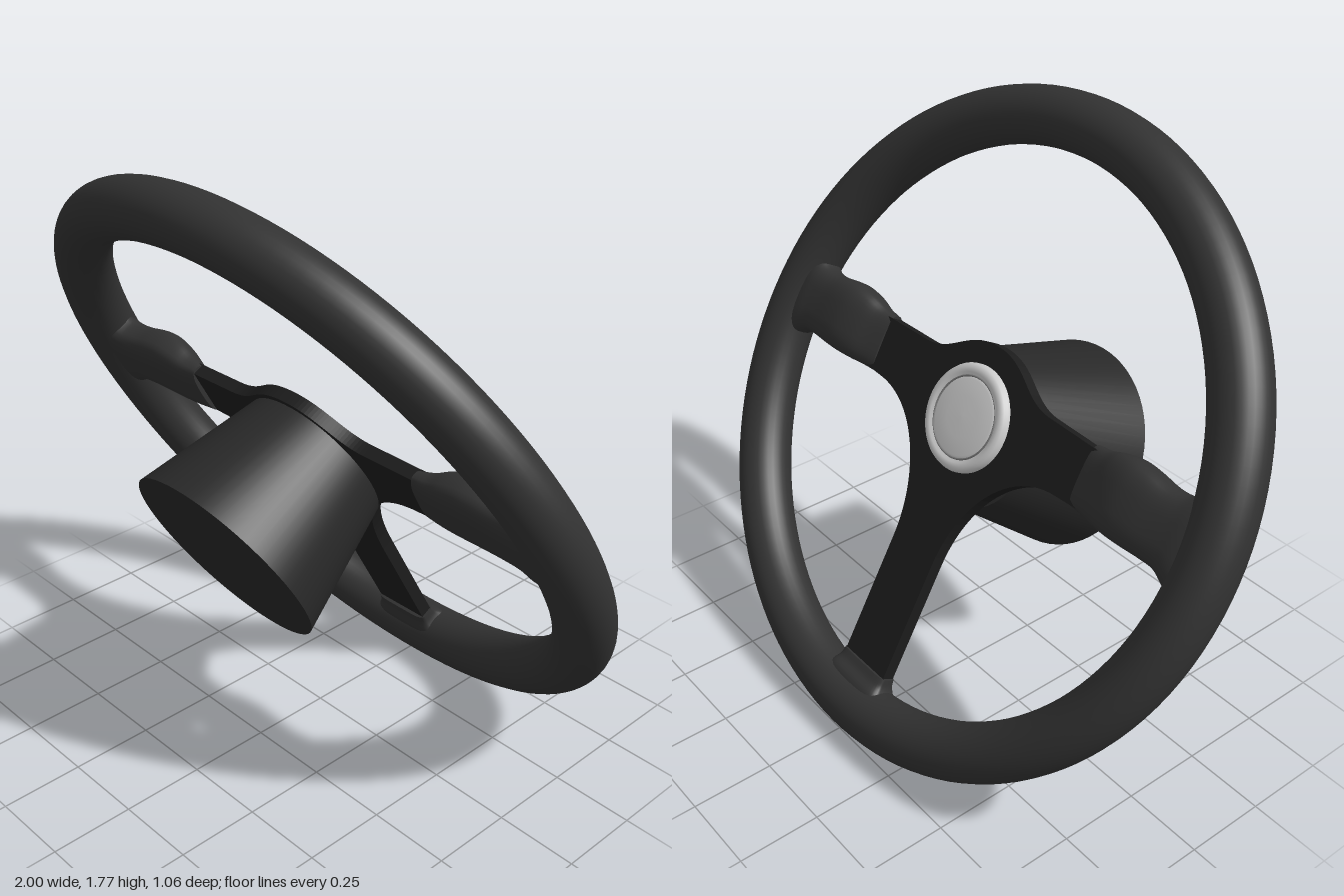
import * as THREE from 'three';

const TILT = 0.51;       // lean of the wheel plane about x
const RIM_R = 0.915, TUBE_R = 0.085;

const mat = (color, side = THREE.FrontSide) =>
  new THREE.MeshStandardMaterial({ color, side });

function add(parent, name, geometry, material) {
  const mesh = new THREE.Mesh(geometry, material);
  mesh.name = name;
  parent.add(mesh);
  return mesh;
}

// Smooth loft along +x; each section is [x, centreY, centreZ, halfY, halfZ]
function loft(sections, steps = 32, sides = 32, power = 0.7) {
  const centre = new THREE.CatmullRomCurve3(sections.map(s => new THREE.Vector3(s[0], s[1], s[2])));
  const size = new THREE.CatmullRomCurve3(sections.map(s => new THREE.Vector3(s[3], s[4], s[0])));
  const round = v => Math.sign(v) * Math.pow(Math.abs(v), power);
  const pos = [], idx = [];
  const ring = t => {
    const c = centre.getPoint(t), h = size.getPoint(t);
    for (let j = 0; j < sides; j++) {
      const a = (j / sides) * Math.PI * 2;
      pos.push(c.x, c.y + h.x * round(Math.cos(a)), c.z + h.y * round(Math.sin(a)));
    }
  };
  for (let i = 0; i <= steps; i++) ring(i / steps);
  for (let i = 0; i < steps; i++) {
    for (let j = 0; j < sides; j++) {
      const k = (j + 1) % sides;
      const a = i * sides + j, b = i * sides + k;
      idx.push(a, b, a + sides, b, b + sides, a + sides);
    }
  }
  // flat cap on the starting end
  const cap = pos.length / 3;
  ring(0);
  for (let j = 1; j < sides - 1; j++) idx.push(cap, cap + j + 1, cap + j);
  const g = new THREE.BufferGeometry();
  g.setAttribute('position', new THREE.Float32BufferAttribute(pos, 3));
  g.setIndex(idx);
  g.computeVertexNormals();
  return g;
}

// Three-armed plate outline, symmetric about x = 0
function spokeShape() {
  const s = new THREE.Shape();
  s.moveTo(0, 0.255);
  s.bezierCurveTo(0.13, 0.255, 0.16, 0.165, 0.27, 0.16);
  s.lineTo(0.52, 0.155);
  s.lineTo(0.52, -0.01);
  s.lineTo(0.4, -0.015);
  s.bezierCurveTo(0.22, -0.02, 0.093, -0.2, 0.093, -0.4);
  s.lineTo(0.093, -0.86);
  s.lineTo(-0.093, -0.86);
  s.lineTo(-0.093, -0.4);
  s.bezierCurveTo(-0.093, -0.2, -0.22, -0.02, -0.4, -0.015);
  s.lineTo(-0.52, -0.01);
  s.lineTo(-0.52, 0.155);
  s.lineTo(-0.27, 0.16);
  s.bezierCurveTo(-0.16, 0.165, -0.13, 0.255, 0, 0.255);
  return s;
}

export function createModel() {
  const model = new THREE.Group();
  model.name = 'steeringWheel';
  const wheel = new THREE.Group();
  wheel.name = 'tiltedWheel';
  wheel.position.y = 0.885;
  wheel.rotation.x = TILT;
  model.add(wheel);

  const leather = mat(0x323232), plate = mat(0x1c1c1c);
  const plastic = mat(0x282828), silver = mat(0xcccccc, THREE.DoubleSide);
  const groove = mat(0x777777);

  // Rim
  add(wheel, 'rim', new THREE.TorusGeometry(RIM_R, TUBE_R, 32, 128), leather);

  // Hub plate with three spokes
  const plateGeo = new THREE.ExtrudeGeometry(spokeShape(), {
    depth: 0.04, bevelEnabled: false, curveSegments: 24,
  });
  plateGeo.translate(0, 0, -0.016);
  add(wheel, 'spokePlate', plateGeo, plate);

  // Padded thumb grips where the side spokes meet the rim
  const gripGeo = loft([
    [0.45, 0.073, 0.008, 0.092, 0.03],
    [0.50, 0.076, 0.004, 0.096, 0.042],
    [0.55, 0.083, -0.004, 0.106, 0.055],
    [0.61, 0.087, -0.010, 0.112, 0.063],
    [0.67, 0.085, -0.010, 0.110, 0.063],
    [0.74, 0.080, -0.006, 0.104, 0.060],
    [0.79, 0.080, -0.003, 0.108, 0.060],
    [0.83, 0.080, 0, 0.130, 0.062],
    [0.88, 0.080, 0, 0.165, 0.055],
  ]);
  for (const side of [1, -1]) {
    const grip = add(wheel, side > 0 ? 'leftGrip' : 'rightGrip', gripGeo, leather);
    grip.scale.x = side;
  }

  // Collar where the lower spoke enters the rim
  const collarGeo = loft([
    [0.785, 0, 0.004, 0.100, 0.03],
    [0.81, 0, 0.003, 0.103, 0.036],
    [0.835, 0, 0, 0.115, 0.05],
    [0.87, 0, 0, 0.14, 0.055],
  ], 12, 32, 0.4);
  collarGeo.rotateZ(-Math.PI / 2);
  add(wheel, 'lowerCollar', collarGeo, leather);

  // Column boss, widening away from the wheel
  const bossGeo = new THREE.CylinderGeometry(0.318, 0.236, 0.396, 64);
  bossGeo.rotateX(Math.PI / 2);
  bossGeo.translate(0, 0.004, 0.222);
  add(wheel, 'columnBoss', bossGeo, plastic);

  // Round centre button on the driver's side
  const button = new THREE.Group();
  button.name = 'centreButton';
  button.position.set(0, 0.03, -0.014);
  button.rotation.x = -Math.PI / 2;
  wheel.add(button);
  const profile = [
    [0.16, 0], [0.16, 0.012], [0.155, 0.022], [0.145, 0.028], [0.132, 0.027],
    [0.124, 0.021], [0.118, 0.021], [0.112, 0.026], [0.06, 0.03], [0, 0.031],
  ].map(p => new THREE.Vector2(...p));
  add(button, 'buttonCap', new THREE.LatheGeometry(profile, 64), silver);
  const ringGeo = new THREE.TorusGeometry(0.121, 0.003, 8, 64);
  ringGeo.rotateX(Math.PI / 2);
  ringGeo.translate(0, 0.021, 0);
  add(button, 'buttonGroove', ringGeo, groove);

  return model;
}
